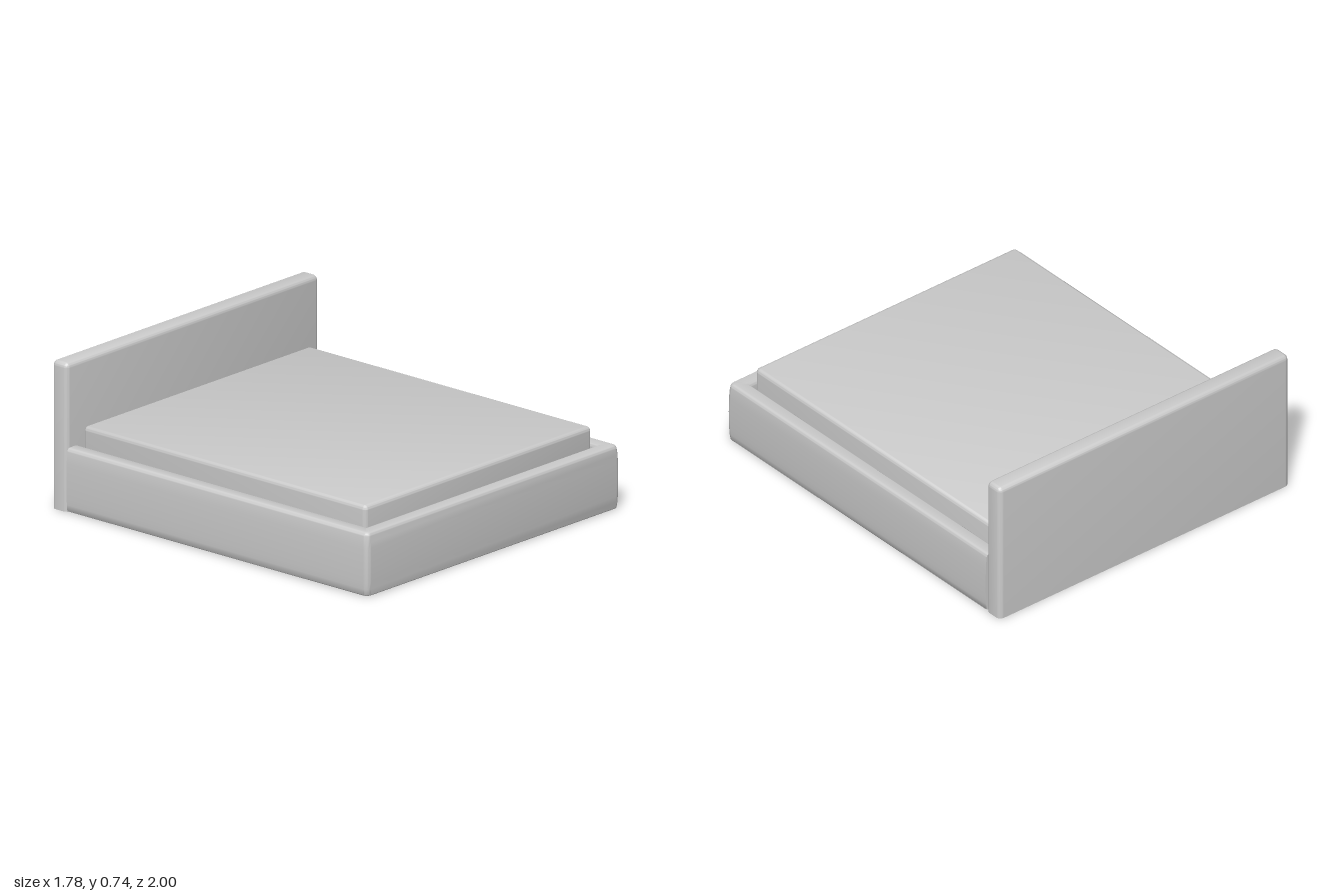
import * as THREE from 'three';
import { toCreasedNormals } from 'three/addons/utils/BufferGeometryUtils.js';
import { RoundedBoxGeometry } from 'three/addons/geometries/RoundedBoxGeometry.js';

const grey = new THREE.MeshStandardMaterial({ color: 0xcccccc });

// Cushion-like block: rounded sides and top, flat underside with a sharp edge
function softBlock(name, x0, x1, y0, y1, z0, z1, radius) {
  const geo = new RoundedBoxGeometry(x1 - x0, y1 - y0 + radius, z1 - z0, 5, radius);
  geo.translate((x0 + x1) / 2, (y0 + y1 - radius) / 2, (z0 + z1) / 2);
  const pos = geo.attributes.position;
  for (let i = 0; i < pos.count; i++) pos.setY(i, Math.max(pos.getY(i), y0));
  const mesh = new THREE.Mesh(toCreasedNormals(geo, 0.7), grey);
  mesh.name = name;
  return mesh;
}

// Rail cross-section: o runs outward from the inner face, y is up
function railProfile(thick, y0, y1, rBottom, rTop, bulge) {
  const pts = [];
  const outer = thick - bulge;
  const corner = (cx, cy, radius, start) => {
    for (let i = 0; i <= 5; i++) {
      const a = start + (i / 5) * Math.PI / 2;
      pts.push([cx + radius * Math.cos(a), cy + radius * Math.sin(a)]);
    }
  };
  corner(outer - rBottom, y0 + rBottom, rBottom, -Math.PI / 2);
  // slightly padded outer face
  for (let i = 1; i < 10; i++) {
    const t = i / 10;
    pts.push([outer + bulge * Math.sqrt(Math.sin(Math.PI * t)), y0 + rBottom + t * (y1 - y0 - rBottom - rTop)]);
  }
  corner(outer - rTop, y1 - rTop, rTop, 0);
  corner(rTop, y1 - rTop, rTop, Math.PI / 2);
  corner(rBottom, y0 + rBottom, rBottom, Math.PI);
  return pts;
}

// U-shaped frame: the profile swept down one side, across the front and back up the other
function frameGeometry() {
  const xi = 0.81, zi = 0.914, thick = 0.082, zBack = -0.902;
  const profile = railProfile(thick, 0.004, 0.317, 0.005, 0.018, 0.006);

  const straight = (side, z) => profile.map(([o, y]) => [side * (xi + o), y, z]);
  const cap = (side) => profile.map(() => [side * (xi + thick / 2), 0.16, zBack]);
  const turn = (side) => {
    const rows = [];
    for (let i = 0; i <= 6; i++) {
      const a = (i / 6) * Math.PI / 2;
      rows.push(profile.map(([o, y]) => {
        const r = 0.028 * o / thick;
        return [side * (xi + o - r + r * Math.cos(a)), y, zi + o - r + r * Math.sin(a)];
      }));
    }
    return rows;
  };
  const half = (side) => [cap(side), straight(side, zBack), ...turn(side)];
  const rows = [...half(1), ...half(-1).reverse()];

  const n = profile.length, index = [];
  for (let s = 0; s < rows.length - 1; s++) {
    for (let j = 0; j < n; j++) {
      const k = (j + 1) % n;
      const a = s * n + j, b = s * n + k, c = a + n, d = b + n;
      index.push(a, b, c, b, d, c);
    }
  }
  const geo = new THREE.BufferGeometry();
  geo.setAttribute('position', new THREE.Float32BufferAttribute(rows.flat(2), 3));
  geo.setIndex(index);
  return toCreasedNormals(geo, 0.7);
}

export function createModel() {
  const bed = new THREE.Group();
  bed.name = 'bed';

  const frame = new THREE.Mesh(frameGeometry(), grey);
  frame.name = 'bedFrame';
  bed.add(frame);

  bed.add(softBlock('headboard', -0.888, 0.888, 0, 0.736, -1, -0.902, 0.026));
  bed.add(softBlock('mattress', -0.797, 0.797, 0.25, 0.41, -0.882, 0.9, 0.022));
  return bed;
}
